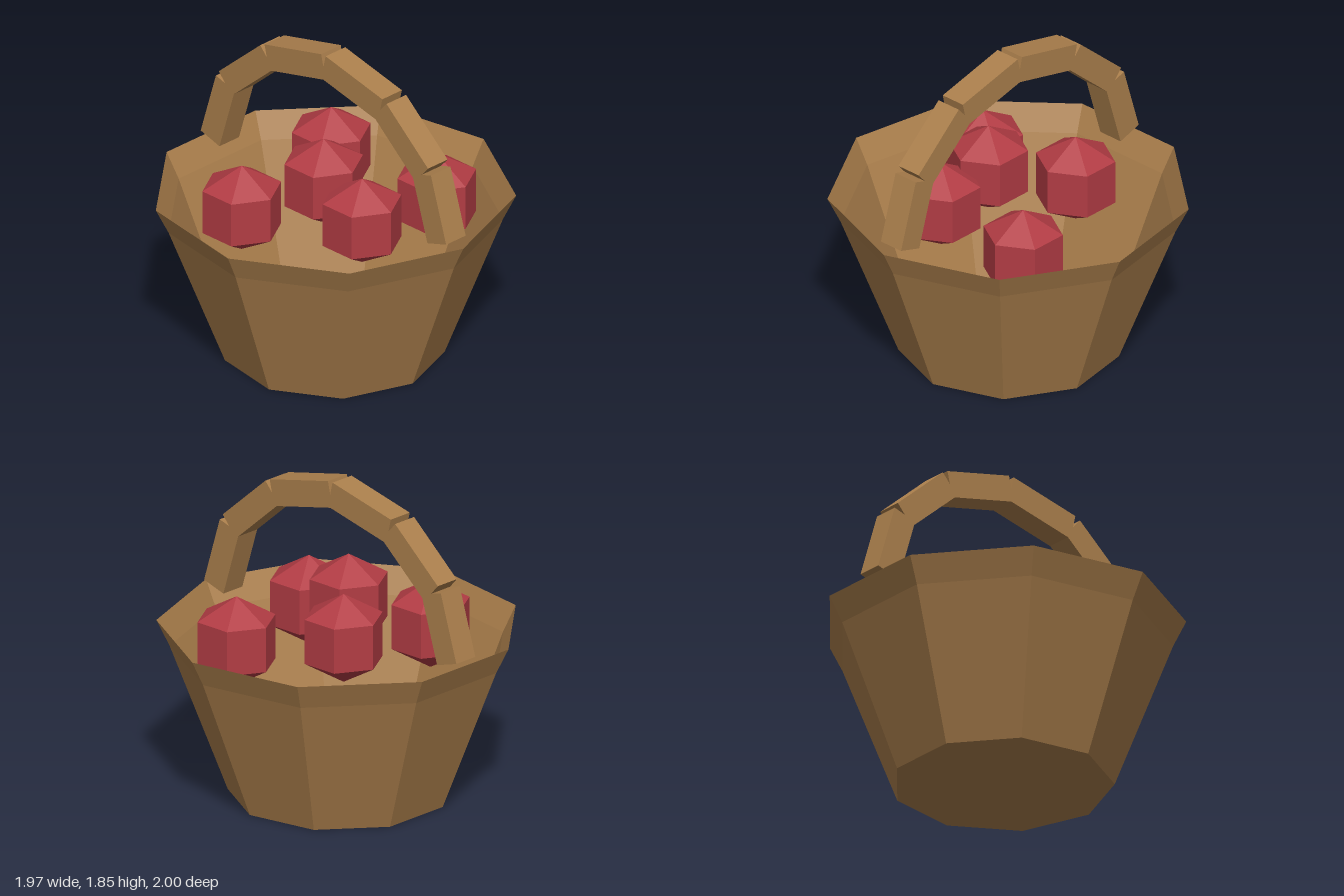
import * as THREE from 'three';

const CENTER_X = -0.03; // the nine-sided basket is off-centre so its bounds are centred

export function createModel() {
  const root = new THREE.Group();
  root.name = 'appleBasket';

  const wood = new THREE.MeshStandardMaterial({ color: 0xab7f4c, flatShading: true, side: THREE.DoubleSide });
  wood.name = 'wood';
  const red = new THREE.MeshStandardMaterial({ color: 0xb23c44, flatShading: true });
  red.name = 'appleRed';

  const add = (parent, name, geometry, material) => {
    const mesh = new THREE.Mesh(geometry, material);
    mesh.name = name;
    parent.add(mesh);
    return mesh;
  };

  // Thin nine-sided tub: floor, sloping wall and slightly flared rim
  const profile = [[0, 0], [0.62, 0], [0.942, 0.84], [1.0154, 0.99]]
    .map(([r, y]) => new THREE.Vector2(r, y));
  const tub = add(root, 'basket', new THREE.LatheGeometry(profile, 9, Math.PI / 2), wood);
  tub.position.x = CENTER_X;

  // Handle: straight blocks along half an ellipse, with open notches at the joints
  const handle = new THREE.Group();
  handle.name = 'handle';
  root.add(handle);
  const SEGMENTS = 6;
  const archPoint = (i) => {
    const t = (i / SEGMENTS) * Math.PI;
    return new THREE.Vector2(CENTER_X + 0.885 * Math.cos(t), 1 + 0.775 * Math.sin(t));
  };
  for (let i = 0; i < SEGMENTS; i++) {
    const a = archPoint(i);
    const b = archPoint(i + 1);
    const block = add(handle, `handleBlock${i + 1}`, new THREE.BoxGeometry(a.distanceTo(b), 0.153, 0.153), wood);
    block.position.set((a.x + b.x) / 2, (a.y + b.y) / 2, 0);
    block.rotation.z = Math.atan2(b.y - a.y, b.x - a.x);
  }

  // Apples: coarse six-sided spheres
  const apples = new THREE.Group();
  apples.name = 'apples';
  root.add(apples);
  const appleGeometry = new THREE.SphereGeometry(0.26, 6, 3);
  [
    [-0.295, 1.045, -0.25],
    [0.335, 0.92, -0.445],
    [-0.295, 0.94, 0.45],
    [0.015, 1.1, 0.12],
    [0.355, 0.993, 0.16],
  ].forEach((p, i) => add(apples, `apple${i + 1}`, appleGeometry, red).position.set(...p));

  return root;
}
